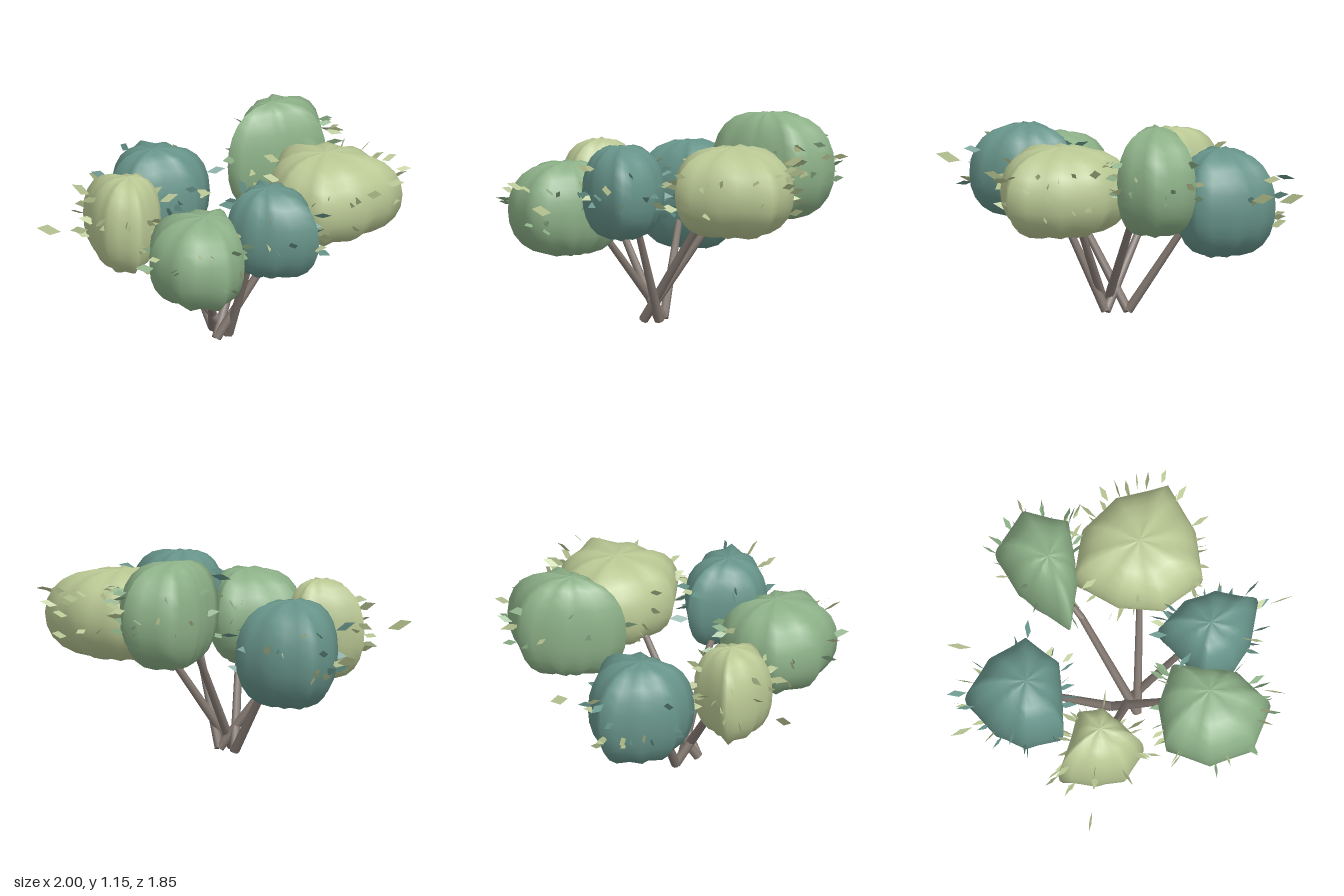
import * as THREE from 'three';
import { mergeGeometries } from 'three/addons/utils/BufferGeometryUtils.js';

const material = (name, color, side) => {
  const m = new THREE.MeshStandardMaterial({ color, side });
  m.name = name;
  return m;
};

// feet shared by the stems
const FOOT = {
  left: new THREE.Vector3(-0.045, 0.02, 0.055),
  right: new THREE.Vector3(0.075, 0.02, 0.05),
  front: new THREE.Vector3(0.075, 0.02, 0.14),
};

// each clump: pole (x, z), height range, eight corner radii in plan
// (evenly spaced from +x towards +z, starting at turn), stem foot and tip
const CLUMPS = [
  { name: 'backLeft', mat: 'green', c: [-0.18, -0.5], y: [0.56, 1.15], turn: 0,
    radii: [0.16, 0.17, 0.32, 0.18, 0.19, 0.31, 0.37, 0.3], foot: 'front', tip: [-0.08, 0.65, -0.27] },
  { name: 'backRight', mat: 'lime', c: [0.33, -0.43], y: [0.54, 1.03], turn: 0,
    radii: [0.33, 0.37, 0.33, 0.31, 0.39, 0.34, 0.34, 0.42], foot: 'front', tip: [0.24, 0.6, -0.22] },
  { name: 'left', mat: 'teal', c: [-0.54, 0.04], y: [0.33, 0.92], turn: -0.39,
    radii: [0.26, 0.2, 0.29, 0.26, 0.25, 0.33, 0.29, 0.33], foot: 'left', tip: [-0.36, 0.5, 0.05] },
  { name: 'frontLeft', mat: 'lime', c: [-0.28, 0.46], y: [0.41, 0.95], turn: 0.5,
    radii: [0.24, 0.23, 0.21, 0.29, 0.16, 0.2, 0.18, 0.15], foot: 'right', tip: [-0.15, 0.5, 0.33] },
  { name: 'frontRight', mat: 'green', c: [0.36, 0.48], y: [0.41, 0.92], turn: 0.4,
    radii: [0.33, 0.34, 0.33, 0.34, 0.28, 0.3, 0.2, 0.23], foot: 'left', tip: [0.22, 0.5, 0.32] },
  { name: 'right', mat: 'teal', c: [0.5, 0.16], y: [0.53, 1.04], turn: -0.28,
    radii: [0.33, 0.22, 0.21, 0.23, 0.19, 0.29, 0.24, 0.25], foot: 'right', tip: [0.32, 0.56, 0.11] },
];

// lone leaves beyond the foliage
const OUTER = [[-0.935, 0.63, 0.08], [0.93, 0.86, 0.13], [-0.5, 0.68, 0.85], [-0.77, 0.72, -0.35], [0.71, 0.7, 0.55]];

let seed = 7;
const rand = () => (seed = (seed * 16807) % 2147483647) / 2147483647;
const span = (a, b) => a + (b - a) * rand();

// plan outline relative to the pole, each edge cut in three
function outline({ radii, turn }) {
  const corners = radii.map((r, i) => {
    const a = turn + (i * Math.PI * 2) / radii.length;
    return new THREE.Vector2(r * Math.cos(a), r * Math.sin(a));
  });
  return corners.flatMap((p, i) => {
    const q = corners[(i + 1) % corners.length];
    return [0, 1 / 3, 2 / 3].map((t) => p.clone().lerp(q, t));
  });
}

// rounded body: the outline swept from pole to pole
function foliageGeometry(clump, cols) {
  const rows = 12, n = cols.length, pos = [], index = [];
  const [y0, y1] = clump.y, mid = (y0 + y1) / 2, half = (y1 - y0) / 2;
  for (let i = 0; i <= rows; i++) {
    const t = (i / rows) * Math.PI, cos = Math.cos(t);
    const r = Math.pow(Math.max(Math.sin(t), 0), 0.75);
    const y = mid + half * Math.sign(cos) * Math.pow(Math.abs(cos), 0.95);
    cols.forEach((p, j) => {
      const ripple = 0.02 * Math.sin(j * 2.1 + 1) * Math.sin(t) * cos;
      pos.push(clump.c[0] + p.x * r, y + ripple, clump.c[1] + p.y * r);
      if (i === rows) return;
      const a = i * n + j, b = i * n + ((j + 1) % n);
      if (i > 0) index.push(a, b, a + n);
      if (i < rows - 1) index.push(b, b + n, a + n);
    });
  }
  const g = new THREE.BufferGeometry();
  g.setAttribute('position', new THREE.Float32BufferAttribute(pos, 3));
  g.setIndex(index);
  g.computeVertexNormals();
  return g;
}

// flat diamond leaf pointing along the heading (0 = +x, quarter turn = +z)
function leafGeometry(p, length, heading, pitch, roll) {
  const s = new THREE.Shape([[-0.5, 0], [-0.08, -0.2], [0.5, 0], [0.08, 0.2]]
    .map(([x, y]) => new THREE.Vector2(x * length, y * length)));
  return new THREE.ShapeGeometry(s).rotateX(roll).rotateZ(pitch).rotateY(-heading).translate(...p);
}

// tapered round branch between two points
function branch(a, b, r0, r1) {
  const d = b.clone().sub(a);
  const g = new THREE.CylinderGeometry(r1, r0, d.length(), 8);
  g.applyQuaternion(new THREE.Quaternion().setFromUnitVectors(new THREE.Vector3(0, 1, 0), d.normalize()));
  return g.translate(...a.clone().lerp(b, 0.5).toArray());
}

export function createModel() {
  const group = new THREE.Group();
  group.name = 'shrub';
  const mats = {
    green: material('sageGreen', 0x8db188, THREE.DoubleSide),
    lime: material('paleOlive', 0xbac894, THREE.DoubleSide),
    teal: material('dustyTeal', 0x67948a, THREE.DoubleSide),
    bark: material('bark', 0x81766f, THREE.FrontSide),
  };
  const add = (name, geometry, mat) => {
    const mesh = new THREE.Mesh(geometry, mats[mat]);
    mesh.name = name;
    group.add(mesh);
  };
  const leaves = { green: [], lime: [], teal: [] };

  for (const clump of CLUMPS) {
    const cols = outline(clump), [cx, cz] = clump.c, mid = (clump.y[0] + clump.y[1]) / 2;
    add(clump.name + 'Foliage', foliageGeometry(clump, cols), clump.mat);

    // stem with a short bend at its tip, running into the foliage
    const bend = new THREE.Vector3(...clump.tip);
    const end = bend.clone().lerp(new THREE.Vector3(cx, mid, cz), 0.25);
    add(clump.name + 'Stem', mergeGeometries([
      branch(FOOT[clump.foot], bend, 0.026, 0.019),
      branch(bend, end, 0.019, 0.017),
      new THREE.SphereGeometry(0.019, 8, 6).translate(...clump.tip),
    ]), 'bark');

    // leaves sticking out around the middle of the foliage
    for (let i = 0; i < 30; i++) {
      const p = cols[Math.floor(rand() * cols.length)];
      const heading = p.angle() + span(-0.1, 0.1);
      const reach = p.length() * 0.97 + span(0, 0.06);
      const at = [cx + Math.cos(heading) * reach, mid + span(-0.1, 0.16), cz + Math.sin(heading) * reach];
      const mat = rand() < 0.65 ? clump.mat : 'lime';
      leaves[mat].push(leafGeometry(at, span(0.08, 0.12), heading, span(-0.2, 0.4), span(-0.9, 0.9)));
    }
  }
  for (const p of OUTER) leaves.lime.push(leafGeometry(p, 0.14, Math.atan2(p[2], p[0]), 0.25, 0.2));
  for (const mat in leaves) add(mat + 'Leaves', mergeGeometries(leaves[mat]), mat);
  return group;
}
